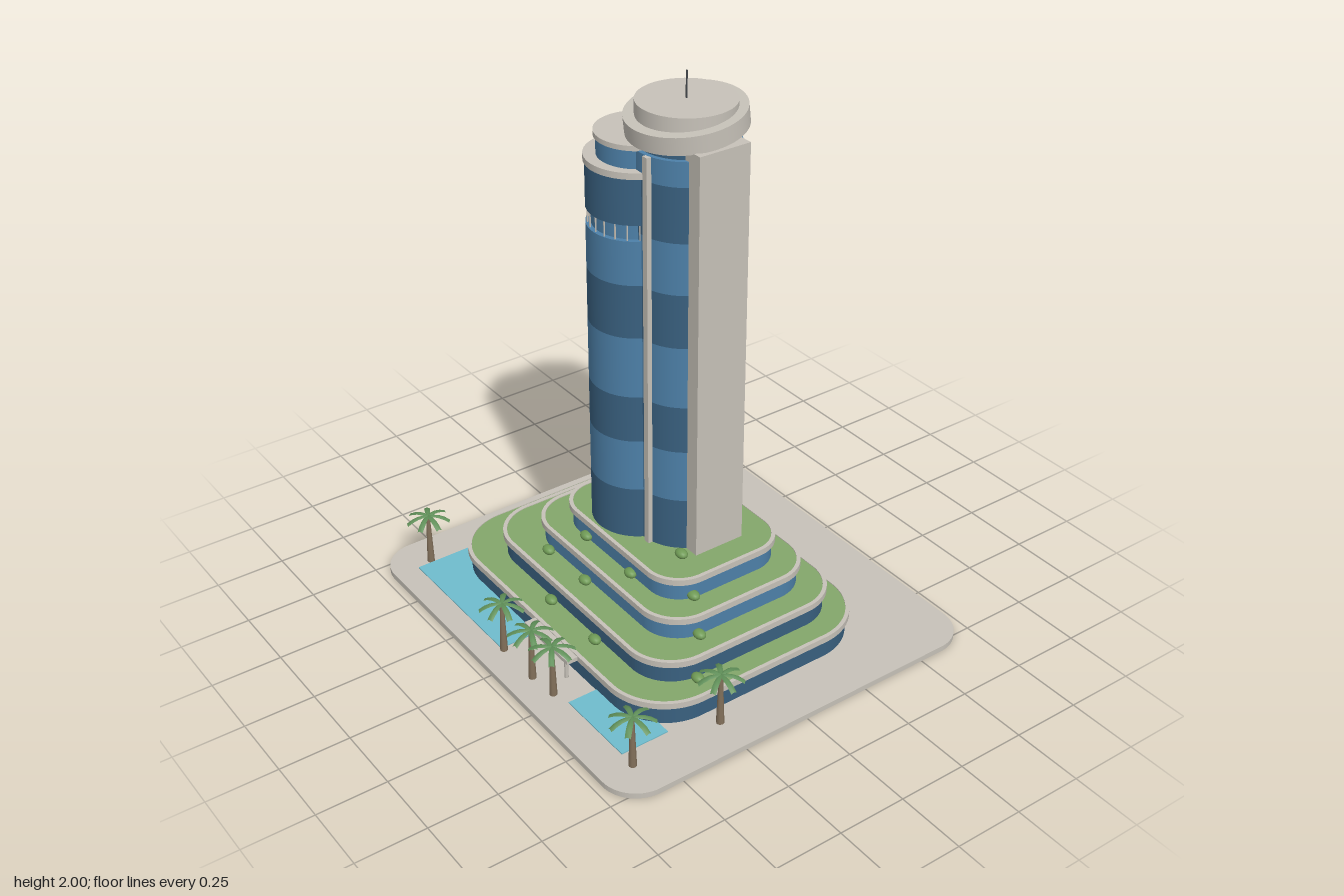
import * as THREE from 'three';

const mat = (name, color, side = THREE.FrontSide) => {
  const m = new THREE.MeshStandardMaterial({ color, side });
  m.name = name;
  return m;
};

export function createModel() {
  const stone = mat('stone', 0xc6c1b8);
  const darkGlass = mat('dark glass', 0x39607f);
  const lightGlass = mat('light glass', 0x4d80a8);
  const grass = mat('grass', 0x83a66b);
  const bushGreen = mat('bush green', 0x6f9a55);
  const palmGreen = mat('palm green', 0x5f8f58, THREE.DoubleSide);
  const bark = mat('bark', 0x82705a);
  const water = mat('water', 0x6fbccd);
  const metal = mat('dark metal', 0x44484c);

  const model = new THREE.Group();
  model.name = 'tower complex';

  const add = (name, geo, material, x = 0, y = 0, z = 0, parent = model) => {
    const m = new THREE.Mesh(geo, material);
    m.name = name;
    m.position.set(x, y, z);
    parent.add(m);
    return m;
  };

  // Box given by its limits
  const box = (name, material, x0, x1, y0, y1, z0, z1) =>
    add(name, new THREE.BoxGeometry(x1 - x0, y1 - y0, z1 - z0), material,
      (x0 + x1) / 2, (y0 + y1) / 2, (z0 + z1) / 2);

  // Upright cylinder given by its bottom and top
  const drum = (name, material, x, z, r, y0, y1, sides = 64) =>
    add(name, new THREE.CylinderGeometry(r, r, y1 - y0, sides), material, x, (y0 + y1) / 2, z);

  // Rounded rectangle outline, inset by d (shape y becomes -z)
  const outline = ([x0, x1, z0, z1, r], d, Type = THREE.Shape) => {
    const a = x0 + d, b = x1 - d, c = -z1 + d, e = -z0 - d, q = r - d;
    const s = new Type();
    s.moveTo(a + q, c);
    s.lineTo(b - q, c);
    s.absarc(b - q, c + q, q, -Math.PI / 2, 0, false);
    s.lineTo(b, e - q);
    s.absarc(b - q, e - q, q, 0, Math.PI / 2, false);
    s.lineTo(a + q, e);
    s.absarc(a + q, e - q, q, Math.PI / 2, Math.PI, false);
    s.lineTo(a, c + q);
    s.absarc(a + q, c + q, q, Math.PI, Math.PI * 1.5, false);
    return s;
  };
  const slab = (name, material, shape, y0, y1) => {
    const g = new THREE.ExtrudeGeometry(shape, { depth: y1 - y0, bevelEnabled: false, curveSegments: 14 });
    g.rotateX(-Math.PI / 2);
    return add(name, g, material, 0, y0, 0);
  };

  // Plaza and pools
  slab('plaza', stone, outline([-0.79, 0.79, -0.72, 0.72, 0.13], 0), 0, 0.02);
  box('poolLarge', water, -0.645, -0.08, 0.018, 0.024, 0.41, 0.63);
  box('poolSmall', water, 0.29, 0.595, 0.018, 0.024, 0.42, 0.6);

  // Stepped podium: glass wall, stone rim, planted roof
  const tiers = [
    { plan: [-0.665, 0.605, -0.45, 0.503, 0.22], y0: 0.02, y1: 0.11, glass: darkGlass },
    { plan: [-0.54, 0.525, -0.385, 0.405, 0.17], y0: 0.1, y1: 0.195, glass: darkGlass },
    { plan: [-0.418, 0.44, -0.325, 0.31, 0.15], y0: 0.185, y1: 0.278, glass: lightGlass },
    { plan: [-0.328, 0.358, -0.267, 0.24, 0.13], y0: 0.27, y1: 0.362, glass: lightGlass },
  ];
  tiers.forEach(({ plan, y0, y1, glass }, i) => {
    const n = i + 1;
    slab('podiumGlass' + n, glass, outline(plan, 0.013), y0, y1 - 0.02);
    const rim = outline(plan, 0);
    rim.holes.push(outline(plan, 0.014, THREE.Path));
    slab('podiumRim' + n, stone, rim, y1 - 0.022, y1);
    slab('podiumLawn' + n, grass, outline(plan, 0.0135), y1 - 0.02, y1 - 0.003);
  });

  // Entrance canopy on posts
  box('entranceCanopy', stone, -0.06, 0.2, 0.092, 0.107, 0.46, 0.545);
  for (const x of [-0.045, 0.175]) drum('canopyPost', stone, x, 0.532, 0.007, 0.02, 0.095, 12);

  // Round glass tower in alternating tinted bands
  const bandEdges = [0.355, 0.55, 0.74, 0.91, 1.13, 1.32, 1.5, 1.69, 1.9];
  const glassTower = (name, x, z, r, y0, y1) => {
    for (let i = 0; i < bandEdges.length - 1; i++) {
      const a = Math.max(y0, bandEdges[i]), b = Math.min(y1, bandEdges[i + 1]);
      if (b > a) drum(name, i % 2 ? lightGlass : darkGlass, x, z, r, a, b);
    }
  };

  // Main tower with stone shafts and a tilted crown
  const mx = 0.053, mz = -0.042;
  glassTower('mainTower', mx, mz, 0.175, 0.355, 1.775);
  drum('mainTowerNeck', darkGlass, mx, mz, 0.16, 1.77, 1.83);
  box('sideShaft', stone, 0.12, 0.252, 0.355, 1.81, -0.137, 0.055);
  box('backShaft', stone, -0.1, 0.075, 0.355, 1.81, -0.224, -0.1);
  box('frontFin', stone, 0.079, 0.102, 0.355, 1.775, 0.1, 0.143);
  drum('crown', stone, mx, mz, 0.195, 1.818, 1.878).rotation.x = 0.12;
  drum('crownCap', stone, mx, mz, 0.161, 1.82, 1.91);
  drum('antenna', metal, mx, mz, 0.003, 1.9, 2.0, 8);

  // Front tower with an open floor and a set-back top
  const fx = -0.082, fz = 0.056;
  glassTower('frontTower', fx, fz, 0.16, 0.355, 1.475);
  drum('openFloorCore', lightGlass, fx, fz, 0.143, 1.47, 1.53);
  for (let i = 0; i < 24; i++) {
    const a = (i / 24) * Math.PI * 2;
    drum('openFloorPost', stone, fx + Math.cos(a) * 0.153, fz + Math.sin(a) * 0.153, 0.003, 1.47, 1.535, 6);
  }
  glassTower('frontTowerUpper', fx, fz, 0.16, 1.53, 1.69);
  drum('frontTowerRoof', stone, fx, fz, 0.165, 1.688, 1.71);
  drum('penthouse', lightGlass, fx + 0.007, fz - 0.005, 0.132, 1.71, 1.775);
  drum('penthouseRoof', stone, fx + 0.007, fz - 0.005, 0.14, 1.773, 1.79);

  // Side tower with a stone fin
  glassTower('sideTower', -0.165, -0.055, 0.1, 0.355, 1.56);
  drum('sideTowerRoof', stone, -0.165, -0.055, 0.106, 1.555, 1.573);
  box('sideFin', stone, -0.268, -0.225, 0.355, 1.573, -0.09, 0.03);

  // Bushes along the terraces: roof height, then x and z
  const bushes = [
    [0.11, [-0.51, 0.29], [-0.095, 0.415], [0.172, 0.415], [0.533, 0.255]],
    [0.195, [-0.424, 0.17], [-0.245, 0.325], [-0.025, 0.32], [0.44, 0.18]],
    [0.278, [-0.325, 0.125], [-0.14, 0.235], [0.125, 0.235], [0.348, 0.137]],
    [0.362, [-0.245, 0.1], [0.23, 0.1]],
  ];
  const bushGeo = new THREE.SphereGeometry(1, 14, 10);
  for (const [y, ...spots] of bushes)
    for (const [x, z] of spots)
      add('bush', bushGeo, bushGreen, x, y + 0.012, z).scale.set(0.026, 0.016, 0.02);

  // Palms: tapered trunk and seven drooping fronds
  const trunkGeo = new THREE.CylinderGeometry(0.007, 0.014, 0.19, 8);
  const frondGeo = new THREE.PlaneGeometry(0.078, 0.026, 4, 2);
  frondGeo.rotateX(-Math.PI / 2);
  frondGeo.translate(0.039, 0, 0);
  const p = frondGeo.attributes.position;
  for (let i = 0; i < p.count; i++) {
    const t = p.getX(i) / 0.078, z = p.getZ(i);
    p.setY(i, 0.022 * t - 0.04 * t * t - Math.abs(z) * 0.4);
    p.setZ(i, z * (0.45 + 0.9 * t - 0.6 * t * t));
  }
  frondGeo.computeVertexNormals();
  const palmSpots = [[-0.66, 0.57], [-0.07, 0.625], [0.11, 0.625], [0.222, 0.615], [0.655, 0.6], [0.655, 0.255]];
  palmSpots.forEach(([x, z], n) => {
    const palm = new THREE.Group();
    palm.name = 'palm';
    palm.position.set(x, 0.02, z);
    model.add(palm);
    add('palmTrunk', trunkGeo, bark, 0, 0.095, 0, palm);
    for (let i = 0; i < 7; i++)
      add('palmFrond', frondGeo, palmGreen, 0, 0.198, 0, palm).rotation.y = n * 0.7 + (i / 7) * Math.PI * 2;
  });

  return model;
}
